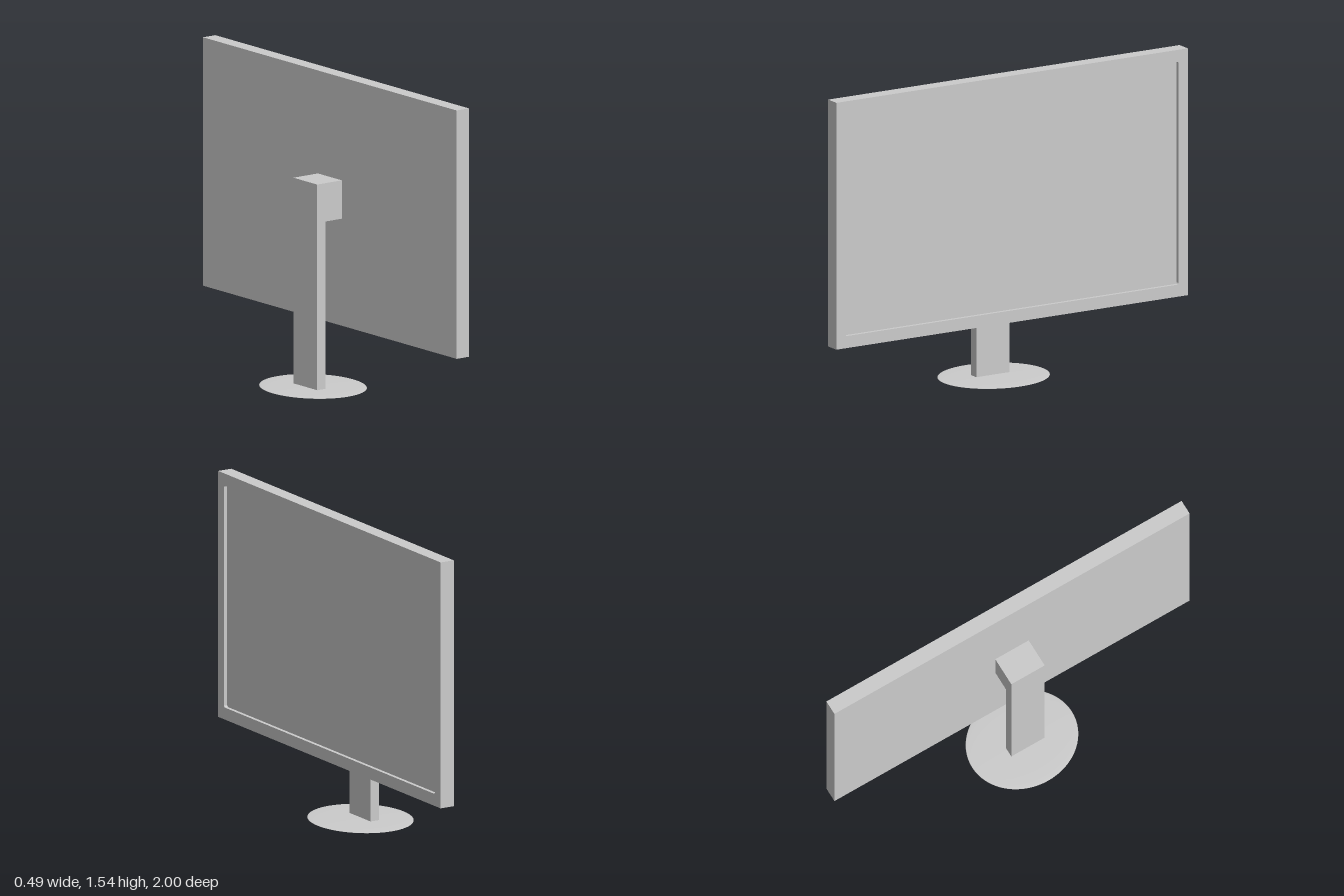
import * as THREE from 'three';

const material = new THREE.MeshStandardMaterial({ color: 0xcccccc });

// Traces a rectangle, with rounded corners if r > 0
function rectangle(path, halfW, y0, y1, r = 0) {
  path.moveTo(-halfW + r, y0);
  path.lineTo(halfW - r, y0);
  if (r) path.absarc(halfW - r, y0 + r, r, -Math.PI / 2, 0);
  path.lineTo(halfW, y1 - r);
  if (r) path.absarc(halfW - r, y1 - r, r, 0, Math.PI / 2);
  path.lineTo(-halfW + r, y1);
  if (r) path.absarc(-halfW + r, y1 - r, r, Math.PI / 2, Math.PI);
  path.lineTo(-halfW, y0 + r);
  if (r) path.absarc(-halfW + r, y0 + r, r, Math.PI, Math.PI * 1.5);
  path.closePath();
  return path;
}

export function createModel() {
  const group = new THREE.Group();
  const add = (name, geometry) => {
    const mesh = new THREE.Mesh(geometry, material);
    mesh.name = name;
    group.add(mesh);
    return mesh;
  };

  const back = 0.1, front = 0.175, recess = 0.018;
  const bottom = 0.31, top = 1.54;

  // Display housing: the screen face is set back behind the bezel
  const depth = front - recess - back;
  add('displayHousing', new THREE.BoxGeometry(depth, top - bottom, 2))
    .position.set(back + depth / 2, (top + bottom) / 2, 0);

  // Bezel frame around the screen, facing +x
  const frame = rectangle(new THREE.Shape(), 1, bottom, top);
  frame.holes.push(rectangle(new THREE.Path(), 0.948, 0.37, 1.48, 0.01));
  const bezel = add('bezel', new THREE.ExtrudeGeometry(frame, {
    depth: recess, bevelEnabled: false, curveSegments: 4,
  }));
  bezel.rotation.y = Math.PI / 2;
  bezel.position.x = front - recess;

  // Upright column and mounting arm in one L-shaped profile
  const profile = new THREE.Shape([
    [-0.05, 0.006], [0, 0.006], [0, 0.84], [back, 0.84], [back, 1.03], [-0.05, 1.03],
  ].map(([x, y]) => new THREE.Vector2(x, y)));
  add('stand', new THREE.ExtrudeGeometry(profile, { depth: 0.188, bevelEnabled: false }))
    .position.z = -0.094;

  // Thin, slightly domed oval foot
  const foot = add('foot', new THREE.SphereGeometry(1, 64, 24));
  foot.scale.set(0.247, 0.006, 0.281);
  foot.position.set(0, 0.006, -0.004);

  return group;
}
